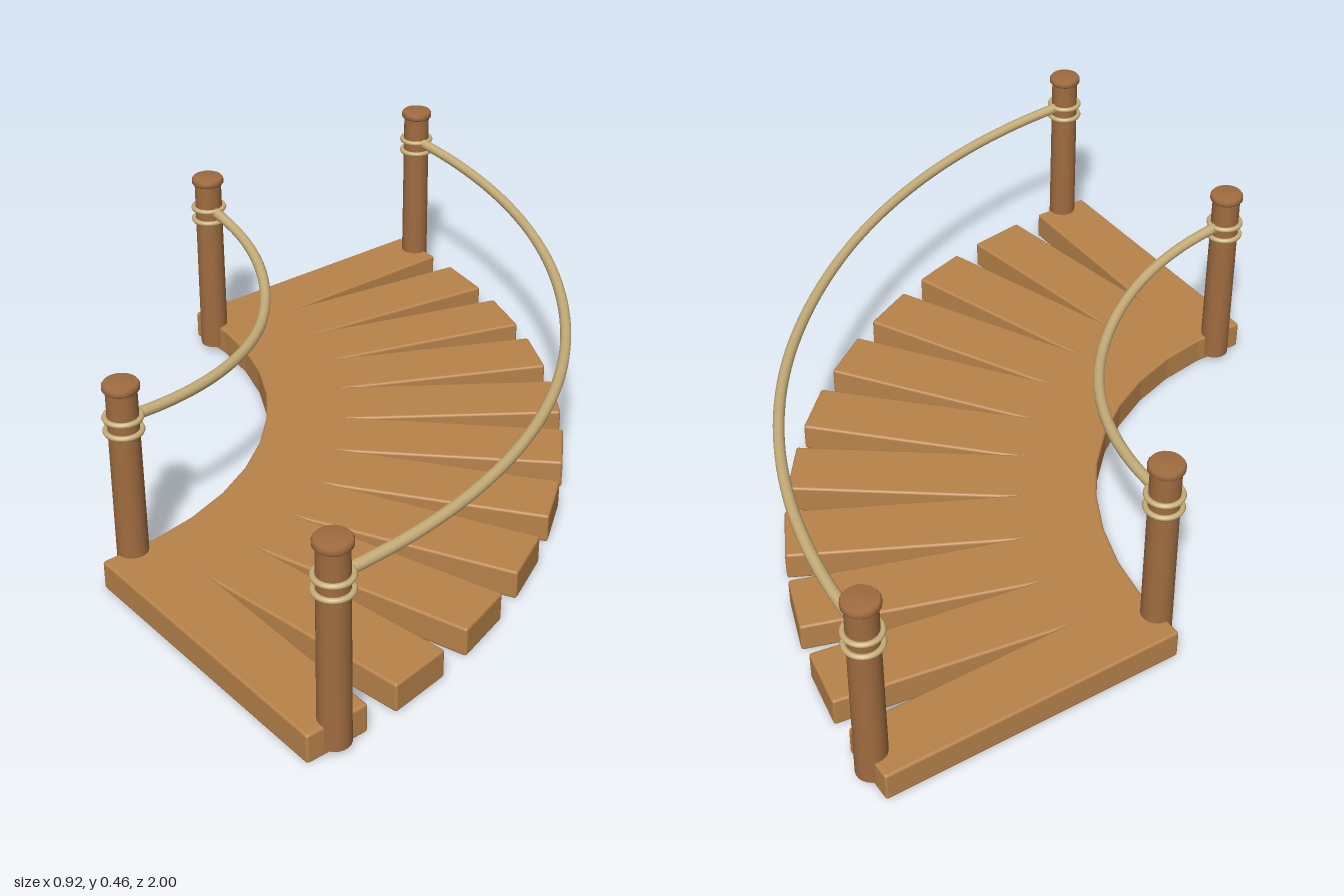
import * as THREE from 'three';
import { RoundedBoxGeometry } from 'three/addons/geometries/RoundedBoxGeometry.js';

const CENTRE_X = -0.887; // centre of the walkway's arc
const HALF_ANGLE = Math.PI / 4;
const PLANKS = 11;
const RAIL_RADII = { inner: 0.68, outer: 1.335 };

const plankWood = new THREE.MeshStandardMaterial({ color: 0xb8834a });
const postWood = new THREE.MeshStandardMaterial({ color: 0xa06c40 });
const ropeFibre = new THREE.MeshStandardMaterial({ color: 0xc9b07a });

function onArc(radius, angle, y) {
  return new THREE.Vector3(
    CENTRE_X + radius * Math.cos(angle), y, radius * Math.sin(angle));
}

function addMesh(parent, name, geometry, material) {
  const mesh = new THREE.Mesh(geometry, material);
  mesh.name = name;
  parent.add(mesh);
  return mesh;
}

// Turned post with a flared cap and two rope bindings
function createPost(name) {
  const post = new THREE.Group();
  post.name = name;
  const shaft = new THREE.CylinderGeometry(0.0315, 0.033, 0.435, 20);
  addMesh(post, 'postShaft', shaft, postWood).position.y = 0.2305;
  const capProfile = [
    [0, 0.442], [0.034, 0.442], [0.0375, 0.446], [0.0375, 0.455], [0.034, 0.46], [0, 0.461],
  ].map(([r, y]) => new THREE.Vector2(r, y));
  addMesh(post, 'postCap', new THREE.LatheGeometry(capProfile, 20), postWood);
  for (const y of [0.352, 0.382]) {
    const ring = new THREE.TorusGeometry(0.036, 0.006, 8, 28);
    ring.rotateX(Math.PI / 2);
    addMesh(post, 'ropeBinding', ring, ropeFibre).position.y = y;
  }
  return post;
}

// Handrail rope following the arc and sagging towards its middle
function createRope(radius) {
  const points = [];
  for (let i = 0; i <= 32; i++) {
    const t = i / 16 - 1;
    const sag = (Math.hypot(t, 0.12) - 0.12) / (Math.hypot(1, 0.12) - 0.12);
    points.push(onArc(radius, t * HALF_ANGLE, 0.343 + 0.035 * sag));
  }
  return new THREE.TubeGeometry(new THREE.CatmullRomCurve3(points), 80, 0.012, 10);
}

export function createModel() {
  const model = new THREE.Group();
  model.name = 'curvedRopeBridge';

  // Deck planks fanned around the arc
  const deck = new THREE.Group();
  deck.name = 'deck';
  model.add(deck);
  const plankGeometry = new RoundedBoxGeometry(0.67, 0.066, 0.14, 2, 0.006);
  for (let i = 0; i < PLANKS; i++) {
    const angle = (i / (PLANKS - 1) * 2 - 1) * HALF_ANGLE;
    const plank = addMesh(deck, 'plank', plankGeometry, plankWood);
    plank.position.copy(onArc(1.01, angle, 0.033));
    plank.rotation.y = -angle;
  }

  // A rope and its two end posts on each side of the deck
  for (const [side, radius] of Object.entries(RAIL_RADII)) {
    addMesh(model, side + 'Rope', createRope(radius), ropeFibre);
    for (const end of [-1, 1]) {
      const post = createPost(side + (end > 0 ? 'FrontPost' : 'BackPost'));
      post.position.copy(onArc(radius, end * HALF_ANGLE, 0));
      model.add(post);
    }
  }
  return model;
}
